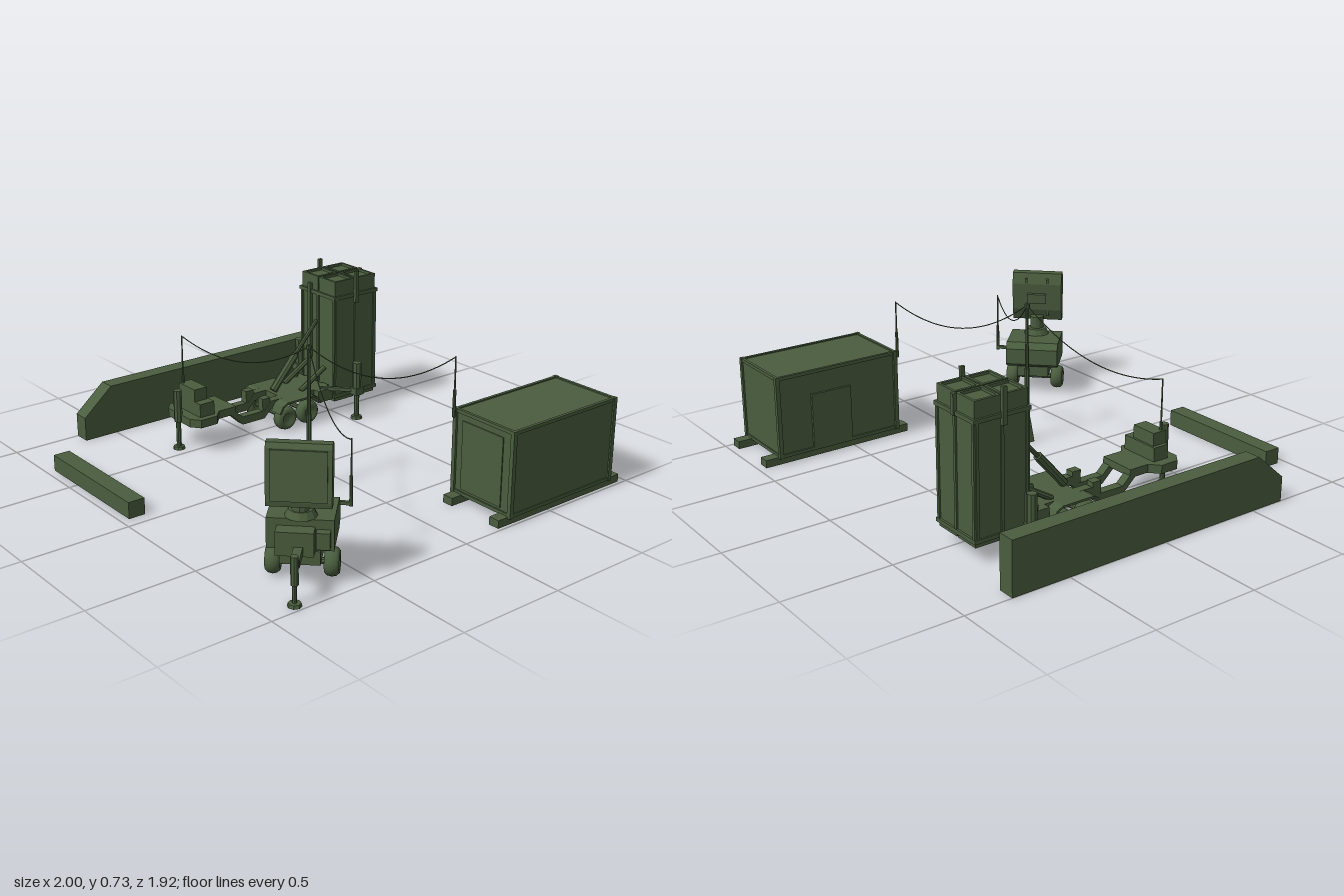
import * as THREE from 'three';

const mat = new THREE.MeshStandardMaterial({ color: 0x4a5d3e, flatShading: true });
const smooth = new THREE.MeshStandardMaterial({ color: 0x4a5d3e });
const V = (x, y, z) => new THREE.Vector3(x, y, z);

function add(parent, name, geo, x = 0, y = 0, z = 0, m = mat) {
  const mesh = new THREE.Mesh(geo, m);
  mesh.name = name;
  mesh.position.set(x, y, z);
  parent.add(mesh);
  return mesh;
}

// box given by its ranges on each axis
function box(parent, name, x0, x1, y0, y1, z0, z1) {
  return add(parent, name, new THREE.BoxGeometry(x1 - x0, y1 - y0, z1 - z0),
    (x0 + x1) / 2, (y0 + y1) / 2, (z0 + z1) / 2);
}

// upright round or square post
function post(parent, name, x, z, y0, y1, r0, r1 = r0, sides = 8) {
  const g = new THREE.CylinderGeometry(r1, r0, y1 - y0, sides);
  if (sides === 4) g.rotateY(Math.PI / 4);
  return add(parent, name, g, x, (y0 + y1) / 2, z);
}

// bar between two points
function bar(parent, name, a, b, r0, r1 = r0, sides = 8) {
  const d = b.clone().sub(a);
  const mesh = add(parent, name, new THREE.CylinderGeometry(r1, r0, d.length(), sides));
  mesh.position.copy(a).addScaledVector(d, 0.5);
  mesh.quaternion.setFromUnitVectors(V(0, 1, 0), d.normalize());
  return mesh;
}

// side profile in (z, y), extruded across x
function profile(parent, name, pts, width, x) {
  const shape = new THREE.Shape(pts.map(p => new THREE.Vector2(p[0], p[1])));
  const g = new THREE.ExtrudeGeometry(shape, { depth: width, bevelEnabled: false });
  g.translate(0, 0, -width / 2).rotateY(-Math.PI / 2);
  return add(parent, name, g, x);
}

// bulged tyre on an x axle
function wheel(parent, x, y, z) {
  const p = [[0, -.018], [.024, -.018], [.03, -.028], [.045, -.03], [.056, -.019], [.06, 0],
    [.056, .019], [.045, .03], [.03, .028], [.024, .018], [0, .018]];
  const g = new THREE.LatheGeometry(p.map(q => new THREE.Vector2(q[0], q[1])), 24);
  add(parent, 'wheel', g.rotateZ(Math.PI / 2), x, y, z, smooth);
}

// support jack with foot plate
function jack(parent, x, z, sleeve0, sleeve1, r) {
  const g = new THREE.Group();
  g.name = 'jack';
  post(g, 'jackSleeve', x, z, sleeve0, sleeve1, r);
  post(g, 'jackLeg', x, z, .01, sleeve0, r * .6);
  post(g, 'jackFoot', x, z, 0, .014, .03, .026);
  parent.add(g);
}

// stepped antenna mast
function mast(parent, x, z, y0, y1) {
  const mid = y0 + (y1 - y0) * .45;
  post(parent, 'mastLower', x, z, y0, mid, .008, .007);
  post(parent, 'mastUpper', x, z, mid, y1, .004, .003);
}

// hanging wire
function cable(parent, a, b, sag) {
  const pts = [];
  for (let i = 0; i <= 16; i++) {
    const t = i / 16, p = a.clone().lerp(b, t);
    p.y -= 4 * sag * t * (1 - t);
    pts.push(p);
  }
  add(parent, 'cable', new THREE.TubeGeometry(new THREE.CatmullRomCurve3(pts), 32, .0025, 5), 0, 0, 0, smooth);
}

function launcher() {
  const g = new THREE.Group();
  g.name = 'launcherTrailer';
  // cranked rails
  const line = [[.24, .155], [.13, .155], [.06, .09], [-.07, .09], [-.11, .13], [-.47, .13]];
  const rail = [...line.map(p => [p[0], p[1] + .02]), ...line.map(p => [p[0], p[1] - .02]).reverse()];
  for (const s of [-1, 1]) {
    profile(g, 'chassisRail', rail, .042, s * .068);
    // fender: flat arch over both wheels
    profile(g, 'fender', [[-.11, .1], [-.13, .135], [-.16, .15], [-.32, .15], [-.35, .135], [-.37, .1],
      [-.362, .1], [-.345, .125], [-.32, .14], [-.16, .14], [-.135, .125], [-.118, .1]], .07, s * .125);
    for (const z of [-.17, -.305]) wheel(g, s * .122, .06, z);
    box(g, 'railBracket', s * .068 - .02, s * .068 + .02, .1, .17, -.105, -.06);
    bar(g, 'liftStay', V(s * .068, .15, -.31), V(s * .068, .24, -.46), .014);
    // outrigger
    bar(g, 'outriggerArm', V(s * .1, .15, -.41), V(s * .232, .15, -.535), .012, .012, 4);
    jack(g, s * .232, -.535, .13, .295, .022);
    box(g, 'jackClamp', s * .232 - .025, s * .232 + .025, .13, .165, -.56, -.51);
    box(g, 'lidPost', s * .142 - .008, s * .142 + .008, .57, .73, -.612, -.592);
  }
  for (const z of [-.17, -.305]) bar(g, 'axle', V(-.12, .06, z), V(.12, .06, z), .012);
  box(g, 'bed', -.1, .1, .11, .15, -.37, -.18);
  box(g, 'rearBed', -.135, .135, .09, .15, -.46, -.37);
  box(g, 'frontBed', -.09, .09, .14, .175, .1, .21);
  // chamfered front platform
  const oct = [[-.09, .2], [.09, .2], [.135, .24], [.135, .33], [.09, .365], [-.09, .365], [-.135, .33], [-.135, .24]];
  const deck = new THREE.ExtrudeGeometry(new THREE.Shape(oct.map(p => new THREE.Vector2(p[0], -p[1])).reverse()),
    { depth: .04, bevelEnabled: false });
  add(g, 'frontPlatform', deck.rotateX(-Math.PI / 2), 0, .135, 0);
  box(g, 'controlBox', -.088, .105, .17, .24, .235, .315);
  box(g, 'controlBoxTop', -.07, .06, .24, .3, .245, .315);
  jack(g, 0, .37, .14, .295, .02);
  mast(g, -.055, .3, .175, .535);
  // lifting ram
  bar(g, 'ramCylinder', V(0, .16, -.19), V(0, .32, -.33), .02);
  bar(g, 'ramRod', V(0, .32, -.33), V(0, .47, -.465), .011);
  // four upright canisters in a frame
  const pod = new THREE.Group();
  pod.name = 'canisterPod';
  box(pod, 'podCore', -.11, .11, .09, .66, -.715, -.495);
  for (const x of [-.066, .066]) for (const z of [-.671, -.539]) {
    box(pod, 'canister', x - .062, x + .062, .07, .68, z - .062, z + .062);
    for (const s of [-1, 1]) {
      box(pod, 'lidRim', x + s * .056 - .006, x + s * .056 + .006, .68, .692, z - .062, z + .062);
      box(pod, 'lidRim', x - .05, x + .05, .68, .692, z + s * .056 - .006, z + s * .056 + .006);
    }
  }
  for (const y of [.09, .6]) box(pod, 'podBand', -.138, .138, y, y + .018, -.743, -.467);
  for (const x of [-.125, 0, .125]) box(pod, 'podRib', x - .007, x + .007, .09, .61, -.741, -.469);
  for (const z of [-.725, -.605, -.485]) box(pod, 'podRib', -.137, .137, .09, .61, z - .007, z + .007);
  box(pod, 'cableDuct', -.066, -.046, .26, .65, -.478, -.46);
  box(pod, 'rearLatch', -.01, .01, .6, .69, -.75, -.73);
  g.add(pod);
  g.position.x = -.565;
  return g;
}

function radar() {
  const g = new THREE.Group();
  g.name = 'radarTrailer';
  profile(g, 'body', [[-.15, .17], [-.15, .25], [-.12, .28], [.09, .28], [.09, .15], [-.12, .15]], .265, 0);
  box(g, 'frontLocker', -.09, .06, .15, .25, .09, .15);
  box(g, 'sideLocker', .065, .12, .17, .24, .09, .125);
  box(g, 'chassis', -.08, .08, .09, .15, -.1, .1);
  bar(g, 'axle', V(-.11, .06, 0), V(.11, .06, 0), .014);
  for (const s of [-1, 1]) wheel(g, s * .117, .06, 0);
  box(g, 'drawbar', -.018, .018, .155, .19, .1, .25);
  jack(g, 0, .26, .09, .21, .016);
  post(g, 'turntable', 0, .05, .28, .31, .065, .05, 12);
  post(g, 'pedestal', 0, .06, .31, .37, .035, .035, 12);
  // antenna panel, leaning slightly back
  const a = new THREE.Group();
  a.name = 'antenna';
  profile(a, 'antennaPanel', [[-.015, 0], [.03, 0], [.035, .02], [.035, .235], [.025, .255], [-.015, .255], [-.035, .2], [-.035, .06]], .255, 0);
  box(a, 'antennaFace', -.11, .11, .025, .23, .03, .042);
  for (const s of [-1, 1]) box(a, 'rearRib', s * .055 - .006, s * .055 + .006, .03, .23, -.042, -.02);
  box(a, 'rearHandle', -.05, .05, .1, .15, -.055, -.03);
  a.position.set(0, .345, .1);
  a.rotation.x = -.07;
  g.add(a);
  box(g, 'mastBracket', .13, .18, .245, .26, -.137, -.123);
  mast(g, .177, -.13, .24, .53);
  g.position.set(.778, 0, .679);
  g.rotation.y = Math.PI / 4;
  return g;
}

function shelter() {
  const g = new THREE.Group();
  g.name = 'shelter';
  box(g, 'shelterBody', .645, .99, .035, .42, -.89, -.265);
  for (const x of [.677, .957]) box(g, 'skid', x - .027, x + .027, 0, .037, -.963, -.2);
  // edge trim
  for (const x of [.645, .987]) {
    for (const z of [-.888, -.265]) box(g, 'cornerPost', x - .01, x + .01, .03, .427, z - .01, z + .01);
    for (const y of [.04, .418]) box(g, 'sideEdge', x - .007, x + .007, y - .008, y + .008, -.89, -.265);
  }
  for (const z of [-.888, -.265]) for (const y of [.04, .418])
    box(g, 'endEdge', .645, .987, y - .008, y + .008, z - .007, z + .007);
  box(g, 'sideDoor', .633, .65, .05, .31, -.72, -.515);
  box(g, 'frontDoor', .69, .93, .06, .38, -.268, -.26);
  mast(g, .65, -.245, .39, .665);
  return g;
}

export function createModel() {
  const root = new THREE.Group();
  root.name = 'fieldStation';
  profile(root, 'longWall', [[-.78, 0], [.67, 0], [.67, .115], [.52, .245], [-.78, .245]], .08, -.96);
  box(root, 'shortWall', -.705, -.06, 0, .077, .88, .96);
  root.add(launcher(), radar(), shelter());
  // central pole
  post(root, 'poleBase', .2, .19, 0, .12, .037, .017, 4);
  post(root, 'poleLower', .2, .19, .12, .37, .012, .011);
  post(root, 'poleUpper', .2, .19, .37, .69, .009, .007);
  post(root, 'poleCap', .2, .19, .67, .685, .013);
  const top = V(.2, .68, .19);
  cable(root, top, V(.65, .662, -.245), .12);
  cable(root, top, V(-.62, .533, .3), .1);
  cable(root, top, V(.811, .525, .462), .1);
  return root;
}
